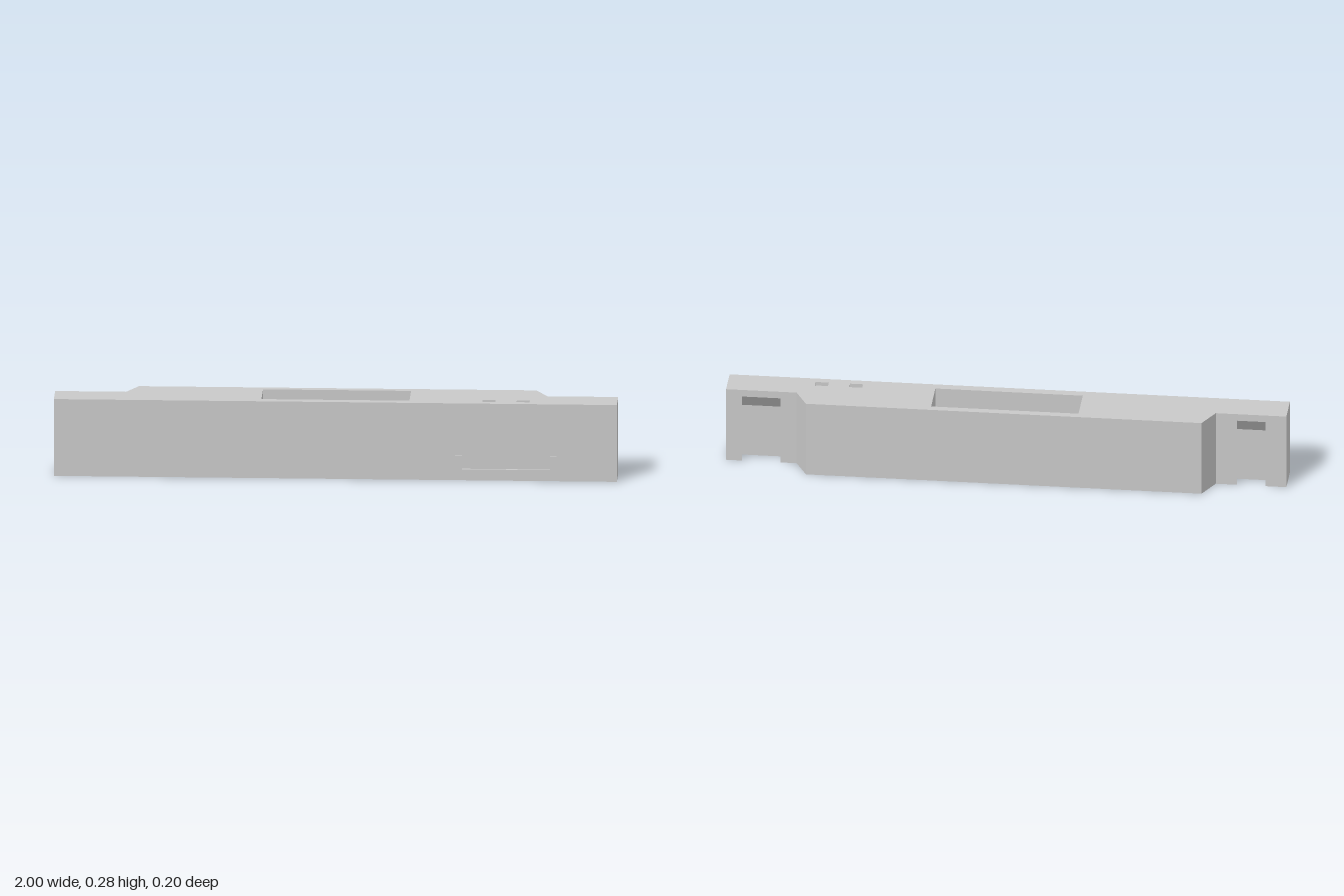
import * as THREE from 'three';

const H = 0.281;          // overall height
const BACK = -0.017;      // back face of the two ends
const POCKET_FLOOR = 0.03;
const FRONT = 0.091;      // where the front plate starts
const NOTCH_TOP = 0.255, NOTCH_IN = 0.03, FLARE = 0.04, SLOPE = 0.057;
// mouth of each dovetail notch, from low to high x
const NOTCHES = [[-0.926, -0.823], [0.806, 0.943]];

const points = (pts) => pts.map(([x, y]) => new THREE.Vector2(x, y));
const plan = (pts) => points(pts.map(([x, z]) => [x, -z]));
const rect = (x0, x1, z0, z1) => new THREE.Path(plan([[x0, z0], [x1, z0], [x1, z1], [x0, z1]]));

// long slot with round ends
function slot(x0, x1, z0, z1) {
  const r = (z1 - z0) / 2, c = -(z0 + z1) / 2;
  const p = new THREE.Path();
  p.absarc(x1 - r, c, r, -Math.PI / 2, Math.PI / 2, false);
  p.absarc(x0 + r, c, r, Math.PI / 2, Math.PI * 1.5, false);
  p.closePath();
  return p;
}

// plan of the bar, counter-clockwise, with or without the dovetail notches
function outline(notched) {
  const cut = ([a, b]) => notched
    ? [[b, BACK], [b + FLARE, NOTCH_IN], [a - FLARE, NOTCH_IN], [a, BACK]] : [];
  return new THREE.Shape(plan([
    [-1, FRONT], [1, FRONT], [1, BACK], ...cut(NOTCHES[1]),
    [0.748, BACK], [0.706, -0.1], [-0.706, -0.1], [-0.748, BACK],
    ...cut(NOTCHES[0]), [-1, BACK],
  ]));
}

export function createModel() {
  const model = new THREE.Group();
  const grey = new THREE.MeshStandardMaterial({ color: 0xc8c8c8 });
  grey.name = 'grey';
  const add = (name, geometry) => {
    const mesh = new THREE.Mesh(geometry, grey);
    mesh.name = name;
    model.add(mesh);
  };
  const extrude = (shape, depth) =>
    new THREE.ExtrudeGeometry(shape, { depth, bevelEnabled: false, curveSegments: 16 });

  // horizontal slice of the bar; the two small holes run through all slices
  function layer(name, y0, y1, notched, holes) {
    const shape = outline(notched);
    shape.holes.push(rect(0.521, 0.567, 0.046, 0.073), rect(0.643, 0.689, 0.046, 0.073), ...holes);
    add(name, extrude(shape, y1 - y0).rotateX(-Math.PI / 2).translate(0, y0, 0));
  }
  const pocket = rect(-0.264, 0.262, -0.073, 0.068);
  layer('slottedFloor', 0, POCKET_FLOOR, true, [
    slot(-0.163, 0.159, -0.032, 0.027),
    rect(-0.23, -0.183, -0.015, 0.01), rect(0.178, 0.225, -0.015, 0.01),
  ]);
  layer('notchedBody', POCKET_FLOOR, NOTCH_TOP, true, [pocket]);
  layer('topRim', NOTCH_TOP, H, false, [pocket]);

  // sloped ceilings of the notches
  for (const [a, b] of NOTCHES) {
    const wedge = new THREE.Shape(points([
      [-BACK, NOTCH_TOP], [-NOTCH_IN, NOTCH_TOP], [-NOTCH_IN, NOTCH_TOP - SLOPE],
    ]));
    add('notchCeiling', extrude(wedge, b - a + 2 * FLARE).rotateY(Math.PI / 2).translate(a - FLARE, 0, 0));
  }

  // front plate with the shallow stepped recess
  const plate = new THREE.Shape(points([[-1, 0], [1, 0], [1, H], [-1, H]]));
  plate.holes.push(new THREE.Path(points([
    [0.45, 0.04], [0.762, 0.04], [0.762, 0.09], [0.786, 0.09], [0.786, 0.19], [0.762, 0.19],
    [0.762, 0.245], [0.45, 0.245], [0.45, 0.19], [0.425, 0.19], [0.425, 0.09], [0.45, 0.09],
  ])));
  add('frontPlate', extrude(plate, 0.1 - FRONT).translate(0, 0, FRONT));

  return model;
}
